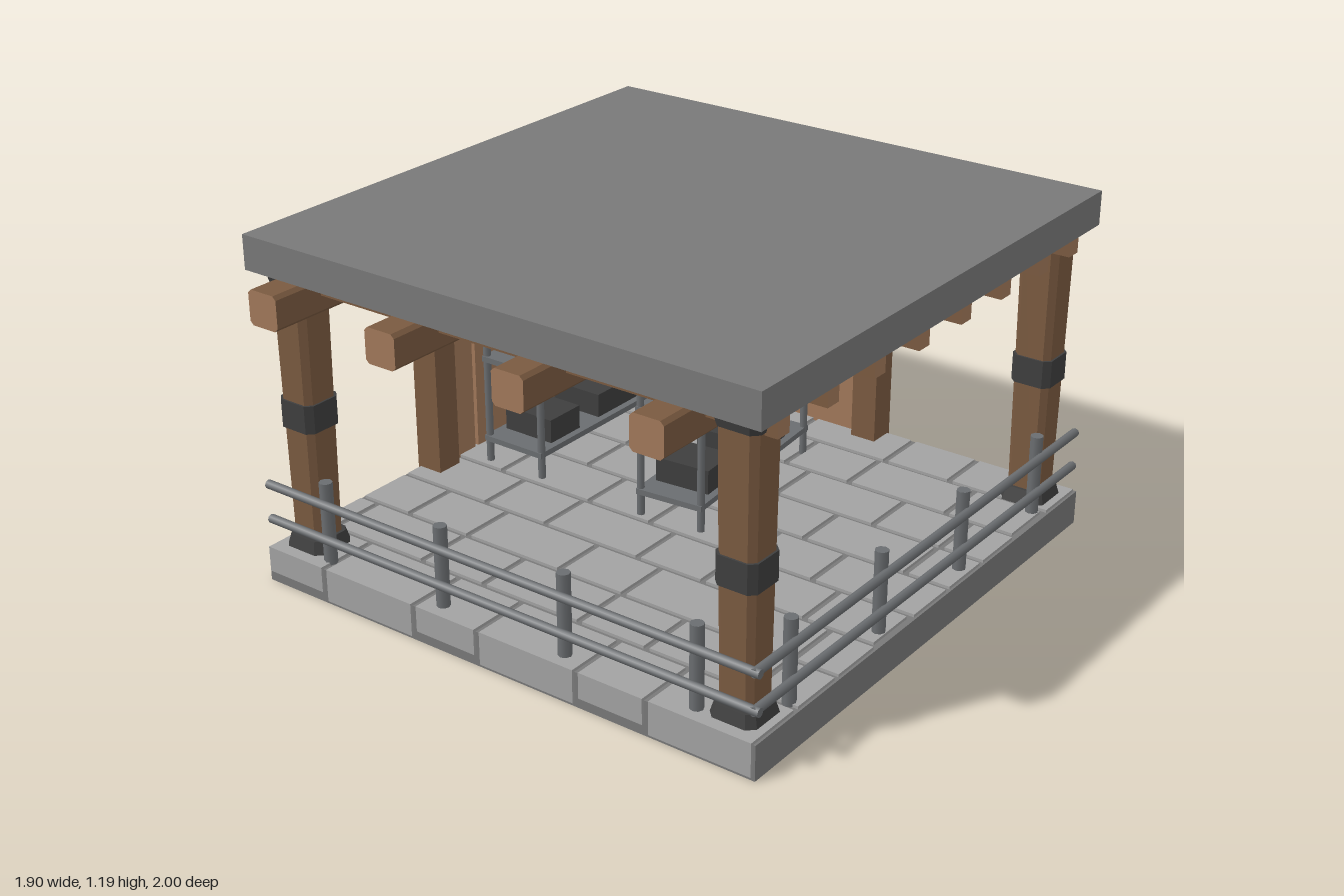
import * as THREE from 'three';

const mat = (name, color, extra = {}) => {
  const m = new THREE.MeshStandardMaterial({ color, ...extra });
  m.name = name;
  return m;
};

export function createModel() {
  const root = new THREE.Group();
  const slabGray = mat('slab gray', 0x787878);
  const stone = mat('light stone', 0xa2a2a2);
  const tan = mat('light wood', 0xa0785a);
  const brown = mat('dark wood', 0x7a5a40);
  const iron = mat('dark iron', 0x3e3e3e);
  const steel = mat('pipe steel', 0x6a6d70);
  const shade = mat('lamp shade', 0xa4a8ac, { side: THREE.DoubleSide });

  const add = (parent, name, geo, material, x = 0, y = 0, z = 0) => {
    const m = new THREE.Mesh(geo, material);
    m.name = name;
    m.position.set(x, y, z);
    parent.add(m);
    return m;
  };
  const group = (name, parent = root) => {
    const g = new THREE.Group();
    g.name = name;
    parent.add(g);
    return g;
  };
  // Box given by its limits on each axis
  const box = (parent, name, material, x0, x1, y0, y1, z0, z1) =>
    add(parent, name, new THREE.BoxGeometry(x1 - x0, y1 - y0, z1 - z0), material,
      (x0 + x1) / 2, (y0 + y1) / 2, (z0 + z1) / 2);
  // Square outline with cut corners
  const cutSquare = (h, c) => [[-h + c, -h], [h - c, -h], [h, -h + c], [h, h - c],
    [h - c, h], [-h + c, h], [-h, h - c], [-h, -h + c]];

  // Floor and roof slabs
  box(root, 'floor slab', slabGray, -0.95, 0.95, 0, 0.118, -1, 0.9);
  box(root, 'roof slab', slabGray, -0.95, 0.95, 1.075, 1.19, -1, 0.9);

  // Paving: staggered rows of alternating wide and narrow stones
  const paving = group('paving');
  const rows = 9, depth = 1.9 / rows, gap = 0.011;
  for (let r = 0; r < rows; r++) {
    const z1 = 0.9 - r * depth;
    let x = -0.95 - [0, 0.17, 0.42, 0.27][r % 4];
    for (let i = 0; x < 0.94; i++) {
      const w = i % 2 ? 0.38 : 0.255;
      const a = Math.max(x + gap, -0.94), b = Math.min(x + w - gap, 0.942);
      if (b - a > 0.03) {
        box(paving, 'floor stone', stone, a, b, 0.11, 0.128, z1 - depth + gap, z1 - (r ? gap : -0.01));
        if (r === 0) box(paving, 'edge stone', stone, a, b, i % 2 ? 0.015 : 0.04, 0.12, 0.88, 0.91);
      }
      x += w;
    }
  }

  // Plank walls on the back and on the -x side, with grooves and end posts
  const backWall = group('back wall'), sideWall = group('side wall');
  box(backWall, 'wall core', brown, -0.94, 0.15, 0.118, 1.075, -0.985, -0.955);
  box(sideWall, 'wall core', brown, -0.935, -0.905, 0.118, 1.075, -0.98, 0.13);
  const planks = (start, end, offset, put) => {
    for (let a = offset; a < end; a += 0.239) {
      put(Math.max(a + 0.008, start), Math.min(a + 0.231, end));
    }
  };
  planks(-0.95, 0.11, -1.075, (a, b) =>
    box(backWall, 'plank', tan, a, b, 0.118, 1.075, -1, -0.94));
  planks(-0.94, 0.09, -0.998, (a, b) =>
    box(sideWall, 'plank', tan, -0.95, -0.89, 0.118, 1.075, a, b));
  box(backWall, 'end post', brown, 0.115, 0.21, 0.118, 1.075, -1, -0.9);
  box(sideWall, 'end post', brown, -0.95, -0.85, 0.118, 1.075, 0.095, 0.193);

  // Main beams running front to back, with pale sawn ends
  const beams = group('beams');
  const beamShape = new THREE.Shape(cutSquare(0.0575, 0.012).map(p => new THREE.Vector2(...p)));
  for (const x of [-0.775, -0.3, 0.177, 0.655]) {
    const geo = new THREE.ExtrudeGeometry(beamShape, { depth: 1.99, bevelEnabled: false });
    add(beams, 'beam', geo, [tan, brown], x, 1.0165, -0.99);
  }

  // Joists running side to side
  const joists = group('joists');
  for (let i = 0; i < 8; i++) {
    const z = 0.788 - i * 0.2385 + (i === 7 ? 0.04 : 0);
    add(joists, 'joist', new THREE.BoxGeometry(1.885, 0.055, 0.055),
      [tan, tan, brown, brown, brown, brown], 0.0025, 1.047, z);
  }

  // Tapered timber posts with iron collars
  const prism = (h0, h1, y0, y1, cut) => {
    const v = [], lo = cutSquare(h0, h0 * cut), hi = cutSquare(h1, h1 * cut);
    const push = (p, y) => v.push(p[0], y, p[1]);
    for (let i = 0; i < 8; i++) {
      const j = (i + 1) % 8;
      push(lo[i], y0); push(hi[i], y1); push(hi[j], y1);
      push(lo[i], y0); push(hi[j], y1); push(lo[j], y0);
      push([0, 0], y1); push(hi[j], y1); push(hi[i], y1);
      push([0, 0], y0); push(lo[i], y0); push(lo[j], y0);
    }
    const g = new THREE.BufferGeometry();
    g.setAttribute('position', new THREE.Float32BufferAttribute(v, 3));
    g.computeVertexNormals();
    return g;
  };
  for (const [x, z] of [[-0.835, 0.787], [0.835, 0.787], [0.835, -0.88]]) {
    const post = group('corner post');
    post.position.set(x, 0, z);
    add(post, 'post shaft', prism(0.059, 0.069, 0.12, 1.07, 0.3), brown);
    add(post, 'base collar', prism(0.083, 0.07, 0.12, 0.17, 0.3), iron);
    add(post, 'middle band', prism(0.071, 0.071, 0.55, 0.645, 0.3), iron);
    add(post, 'top collar', prism(0.074, 0.083, 1.03, 1.075, 0.3), iron);
  }

  // Pipe railing along the front and the +x side
  const rail = (name, length) => {
    const g = group(name);
    for (const y of [0.215, 0.338]) {
      const pipe = add(g, 'rail pipe', new THREE.CylinderGeometry(0.015, 0.015, length, 8), steel, 0, y, 0);
      pipe.rotation.z = Math.PI / 2;
    }
    for (let i = 0; i < 4; i++) {
      add(g, 'rail post', new THREE.CylinderGeometry(0.022, 0.022, 0.285, 8), steel,
        -0.718 + i * 0.478, 0.262, -0.027);
    }
    return g;
  };
  rail('front railing', 1.9).position.z = 0.88;
  const sideRail = rail('side railing', 1.88);
  sideRail.rotation.y = Math.PI / 2;
  sideRail.position.set(0.932, 0, -0.05);

  // Pipe shelf units carrying dark crates
  const shelfUnit = (x, z, turn) => {
    const g = group('shelf unit');
    g.position.set(x, 0, z);
    g.rotation.y = turn;
    for (const sx of [-0.115, 0.115]) for (const sz of [-0.345, 0.345]) {
      add(g, 'shelf upright', new THREE.CylinderGeometry(0.013, 0.013, 0.55, 8), steel, sx, 0.395, sz);
    }
    for (const y of [0.215, 0.512]) {
      box(g, 'shelf board', steel, -0.125, 0.125, y - 0.01, y + 0.01, -0.36, 0.36);
      const h = y > 0.4 ? 0.1 : 0.085;
      for (const [a, b, n] of [[0.12, 0.275, 3], [-0.24, 0.015, 5]]) {
        box(g, 'crate', iron, -0.1, 0.1, y + 0.01, y + 0.01 + h, a, b);
        if (y < 0.4) continue;
        for (let i = 0; i < n; i++) {
          add(g, 'crate stub', new THREE.CylinderGeometry(0.014, 0.014, 0.03, 8), steel,
            i % 2 ? 0.05 : -0.055, y + h + 0.02, a + (b - a) * (i + 0.5) / n);
        }
      }
    }
  };
  shelfUnit(-0.665, -0.335, 0);
  shelfUnit(-0.035, -0.335, 0.087);

  // Hanging lamp
  const lamp = group('hanging lamp');
  lamp.position.set(0, 0, -0.045);
  add(lamp, 'lamp cord', new THREE.CylinderGeometry(0.007, 0.007, 0.12, 6), steel, 0, 1.02, 0);
  add(lamp, 'lamp shade', new THREE.CylinderGeometry(0.018, 0.115, 0.058, 12, 1, true).toNonIndexed(), shade, 0, 0.949, 0);
  add(lamp, 'lamp cap', new THREE.CylinderGeometry(0.018, 0.018, 0.015, 8), steel, 0, 0.98, 0);
  add(lamp, 'lamp bulb', new THREE.SphereGeometry(0.022, 10, 8), brown, 0, 0.916, 0);

  return root;
}
